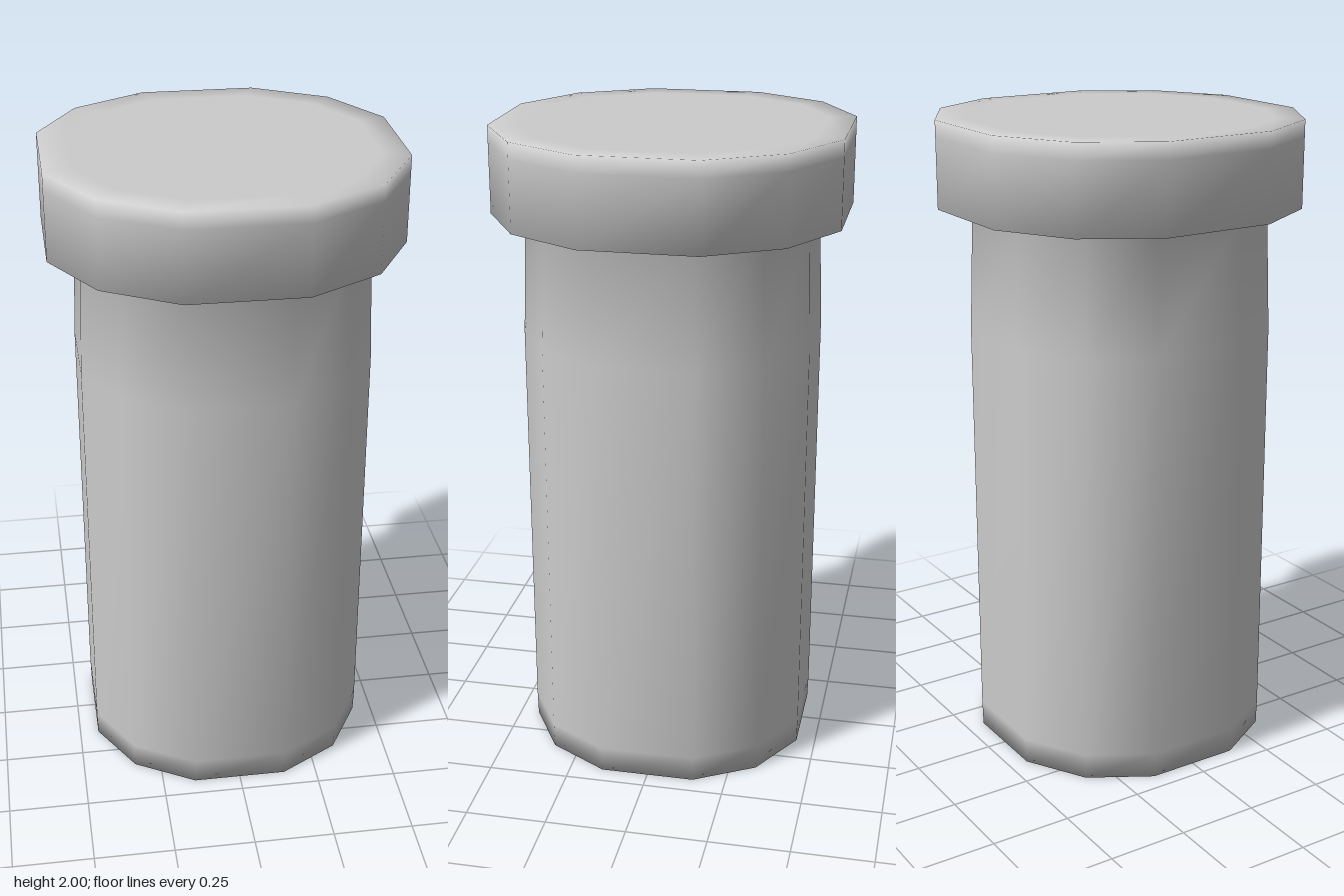
import * as THREE from 'three';

// Outline of the twelve-sided section, as fractions of its half width
const OUTLINE = [];
for (let q = 0; q < 4; q++) {
  for (const [a, b] of [[1, -0.333], [1, 0.333], [0.755, 0.755]]) {
    const c = Math.round(Math.cos(q * Math.PI / 2)), s = Math.round(Math.sin(q * Math.PI / 2));
    OUTLINE.push([a * c - b * s, a * s + b * c]);
  }
}

// One smooth closed skin through rings of [half width, height], listed from bottom to top
function ringSolid(rings) {
  const n = OUTLINE.length, pos = [], index = [];
  for (const [w, y] of rings) for (const [x, z] of OUTLINE) pos.push(x * w, y, z * w);
  for (let r = 0; r < rings.length - 1; r++) {
    for (let i = 0; i < n; i++) {
      const j = (i + 1) % n, a = r * n + i, b = r * n + j;
      index.push(a, a + n, b, b, a + n, b + n);
    }
  }
  // End caps
  const bottom = pos.length / 3, top = bottom + 1, last = (rings.length - 1) * n;
  pos.push(0, rings[0][1], 0, 0, rings[rings.length - 1][1], 0);
  for (let i = 0; i < n; i++) {
    const j = (i + 1) % n;
    index.push(bottom, i, j, top, last + j, last + i);
  }
  const g = new THREE.BufferGeometry();
  g.setAttribute('position', new THREE.Float32BufferAttribute(pos, 3));
  g.setIndex(index);
  g.computeVertexNormals();
  return g;
}

export function createModel() {
  const group = new THREE.Group();
  const material = new THREE.MeshStandardMaterial({ color: 0xcccccc });

  // Shaft, slight neck, flange underside, flange wall and flat top in one skin
  const pin = new THREE.Mesh(ringSolid([
    [0.44, 0], [0.442, 0.08], [0.442, 1.36], [0.428, 1.735],
    [0.526, 1.735], [0.526, 1.95], [0.526, 2], [0.445, 2],
  ]), material);
  pin.name = 'flangedPin';
  group.add(pin);
  return group;
}
